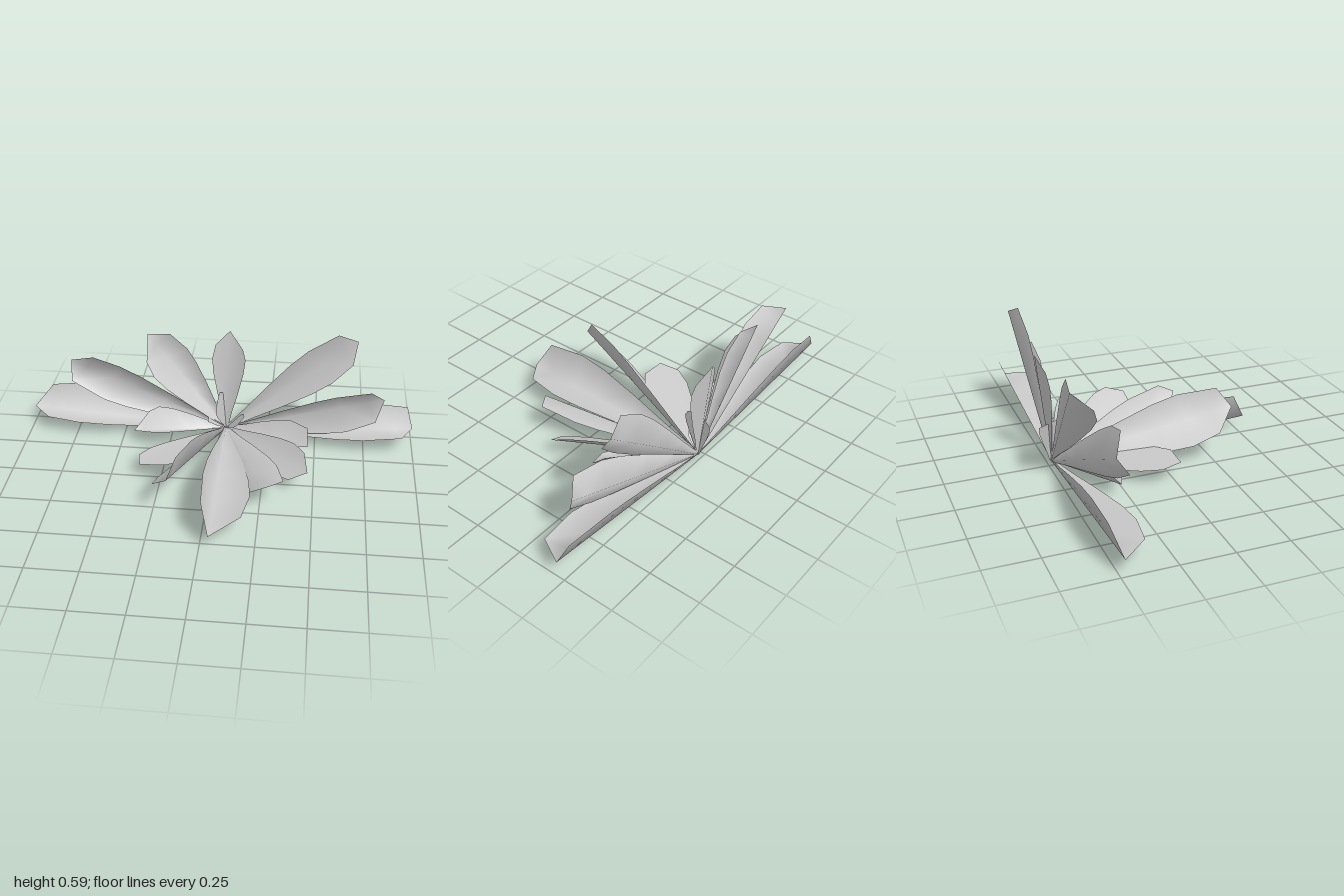
import * as THREE from 'three';

const V = (a) => new THREE.Vector3(...a);
const ROOT = V([0.03, 0.01, -0.48]);

// rows along a leaf: [fraction of length, width relative to the shoulder]
const ROWS = [[0, 0.1], [0.2, 0.42], [0.4, 0.8], [0.6, 1.12], [0.74, 1.22]];

// folded leaf: a midrib from the root to the tip, with a raised blade on each side
function makeLeaf(name, tip, edgeA, edgeB, material) {
  const axis = V(tip).sub(ROOT);
  const sides = [edgeA, edgeB].map((e) => {
    const p = V(e).sub(ROOT);
    const s = p.dot(axis) / axis.lengthSq();
    return { s, offset: p.addScaledVector(axis, -s) };
  });
  const point = (s, offset, w) => ROOT.clone().addScaledVector(axis, s).addScaledVector(offset, w).toArray();
  const pos = [];
  const index = [];
  for (const [t, w] of ROWS) {
    const [a, b] = sides;
    pos.push(...point(t, a.offset, w), ...point(t, a.offset, 0), ...point(t, b.offset, w));
  }
  // shoulder row, then the pointed tip
  pos.push(...edgeA, ...point(0.9, axis, 0), ...edgeB, ...tip);
  for (let r = 0; r < ROWS.length; r++) {
    for (let c = 0; c < 2; c++) {
      const a = r * 3 + c;
      index.push(a, a + 1, a + 4, a, a + 4, a + 3);
    }
  }
  const n = (ROWS.length + 1) * 3;
  index.push(n - 3, n - 2, n, n - 2, n - 1, n);
  const geometry = new THREE.BufferGeometry();
  geometry.setAttribute('position', new THREE.Float32BufferAttribute(pos, 3));
  geometry.setIndex(index);
  geometry.computeVertexNormals();
  const mesh = new THREE.Mesh(geometry, material);
  mesh.name = name;
  return mesh;
}

// each leaf: tip, then the shoulder of either edge
const LEAVES = {
  // wide leaves low along the back
  lowRightLeaf: [[-1, 0.08, -0.48], [-0.9, 0.2, -0.515], [-0.9, 0.09, -0.36]],
  lowLeftLeaf: [[1, 0.08, -0.46], [0.97, 0.18, -0.505], [0.94, 0.09, -0.34]],
  // upright fan
  middleRightLeaf: [[-0.77, 0.4, -0.43], [-0.64, 0.455, -0.366], [-0.76, 0.31, -0.37]],
  middleLeftLeaf: [[0.84, 0.27, -0.41], [0.77, 0.335, -0.36], [0.8, 0.165, -0.36]],
  highLeftLeaf: [[0.69, 0.55, -0.495], [0.59, 0.595, -0.467], [0.67, 0.45, -0.43]],
  highRightLeaf: [[-0.38, 0.535, -0.5], [-0.26, 0.55, -0.48], [-0.37, 0.43, -0.39]],
  topLeaf: [[0.04, 0.555, -0.537], [-0.03, 0.49, -0.505], [0.11, 0.47, -0.5]],
  // leaves reaching forward
  frontLeaf: [[0.04, 0.07, 0.535], [0, 0.205, 0.46], [0.18, 0.11, 0.43]],
  raisedFrontLeaf: [[-0.17, 0.24, 0.365], [-0.13, 0.33, 0.3], [-0.25, 0.15, 0.27]],
  frontLeftLeaf: [[0.28, 0.155, 0.25], [0.2, 0.085, 0.2], [0.36, 0.16, 0.2]],
  sideLeftLeaf: [[0.47, 0.11, 0.045], [0.38, 0.07, 0.055], [0.45, 0.155, -0.06]],
  shortLeftLeaf: [[0.465, 0.1, -0.2], [0.46, 0.165, -0.27], [0.38, 0.1, -0.19]],
  sideRightLeaf: [[-0.35, 0.09, 0.03], [-0.22, 0.095, 0.03], [-0.37, 0.08, -0.07]],
  shortRightLeaf: [[-0.43, 0.08, -0.29], [-0.33, 0.1, -0.25], [-0.36, 0.16, -0.36]],
  // small young leaves at the heart
  youngUprightLeaf: [[-0.005, 0.24, -0.45], [0.02, 0.2, -0.52], [-0.015, 0.19, -0.38]],
  youngLeftLeaf: [[0.13, 0.12, -0.42], [0.12, 0.11, -0.46], [0.1, 0.09, -0.39]],
  youngRightLeaf: [[-0.06, 0.09, -0.4], [-0.06, 0.09, -0.44], [-0.02, 0.08, -0.39]],
};

export function createModel() {
  const group = new THREE.Group();
  group.name = 'leafRosette';
  const material = new THREE.MeshStandardMaterial({ color: 0xcccccc, side: THREE.DoubleSide });
  for (const [name, [tip, a, b]] of Object.entries(LEAVES)) {
    group.add(makeLeaf(name, tip, a, b, material));
  }
  return group;
}
